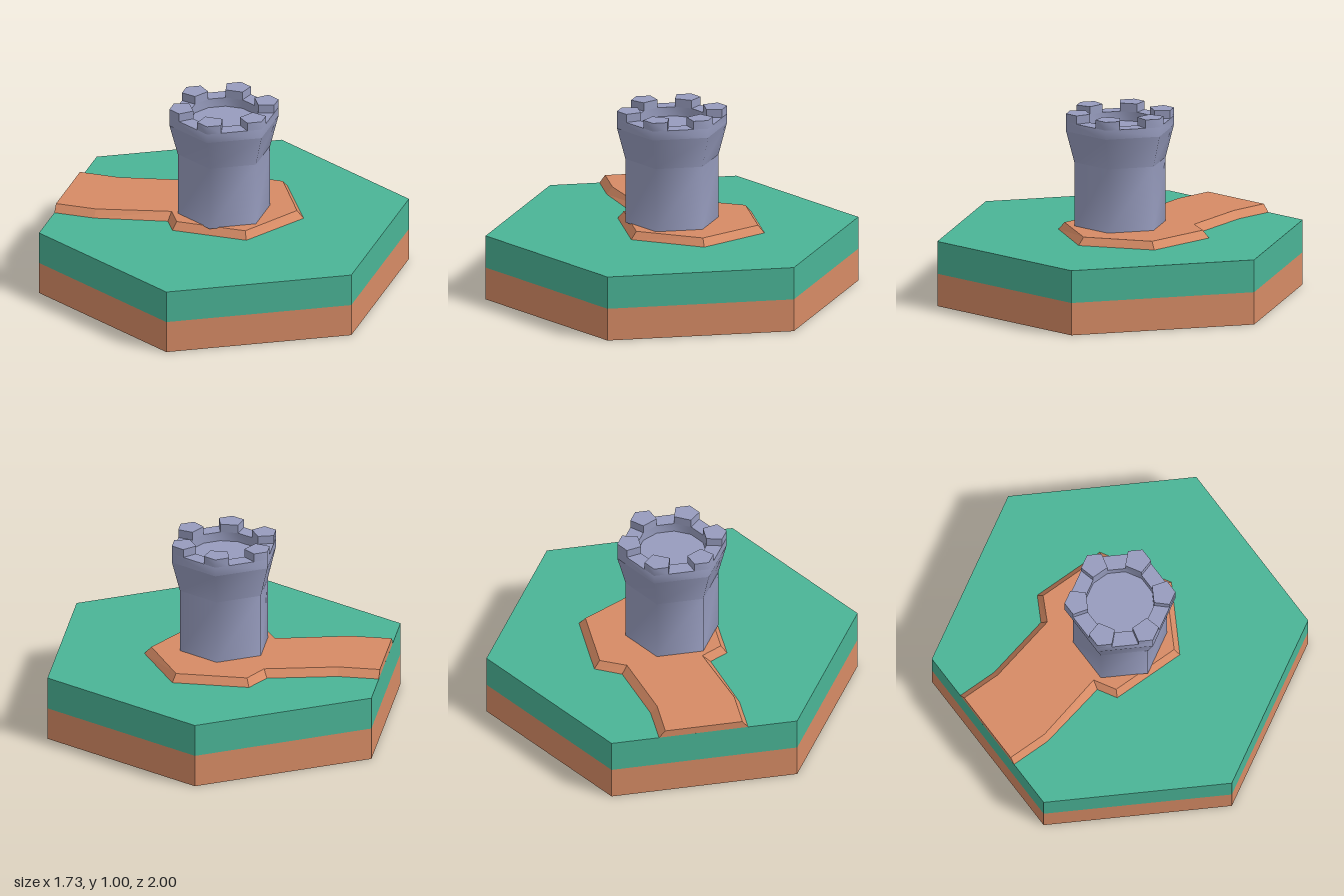
import * as THREE from 'three';
import { toCreasedNormals } from 'three/addons/utils/BufferGeometryUtils.js';

const HEX = Math.PI / 3;
const CREASE = 1.1; // softens the hexagonal tower corners, keeps rims sharp

export function createModel() {
  const model = new THREE.Group();
  const grass = new THREE.MeshStandardMaterial({ color: 0x4ab496 });
  grass.name = 'grass';
  const dirt = new THREE.MeshStandardMaterial({ color: 0xd68b65 });
  dirt.name = 'dirt';
  const stone = new THREE.MeshStandardMaterial({ color: 0x979cbe });
  stone.name = 'stone';

  const add = (parent, name, geometry, material) => {
    const mesh = new THREE.Mesh(geometry, material);
    mesh.name = name;
    parent.add(mesh);
    return mesh;
  };

  // Hexagonal prism from y0 to y1, corners on the z axis
  const prism = (rTop, rBottom, y0, y1) =>
    new THREE.CylinderGeometry(rTop, rBottom, y1 - y0, 6).translate(0, (y0 + y1) / 2, 0);
  const flat = (g) => toCreasedNormals(g, 0.3);
  const soft = (g) => toCreasedNormals(g, CREASE);

  // Ground tile
  add(model, 'dirtLayer', flat(prism(1, 1, 0, 0.175)), dirt);
  add(model, 'grassLayer', flat(prism(1, 1, 0.175, 0.35)), grass);

  // Raised path and yard: outer foot and inner top outline as [x, z]
  const foot = [
    [-0.866, 0.235], [-0.645, 0.235], [-0.262, 0.155], [-0.205, 0.255], [0.205, 0.255], [0.41, -0.1],
    [0.205, -0.46], [-0.205, -0.46], [-0.28, -0.325], [-0.645, -0.245], [-0.866, -0.245],
  ];
  const top = [
    [-0.866, 0.205], [-0.645, 0.205], [-0.255, 0.112], [-0.19, 0.225], [0.19, 0.225], [0.373, -0.1],
    [0.19, -0.428], [-0.19, -0.428], [-0.26, -0.295], [-0.645, -0.21], [-0.866, -0.21],
  ];
  add(model, 'path', bevelledSlab(foot, top, 0.35, 0.39), dirt);

  // Tower body
  const tower = new THREE.Group();
  tower.name = 'tower';
  model.add(tower);
  add(tower, 'shaft', soft(prism(0.25, 0.25, 0.385, 0.735)), stone);
  add(tower, 'flare', soft(prism(0.295, 0.25, 0.735, 0.905)), stone);

  // Parapet ring: hexagon outside, twelve sides inside
  const R = 0.295, r = 0.182;
  const ring = (radius, sides, offset) => Array.from({ length: sides }, (_, i) => {
    const a = offset + (i * 2 * Math.PI) / sides;
    return new THREE.Vector2(radius * Math.sin(a), -radius * Math.cos(a));
  });
  const raise = (shape, y0, y1) =>
    soft(new THREE.ExtrudeGeometry(shape, { depth: y1 - y0, bevelEnabled: false })
      .rotateX(-Math.PI / 2).translate(0, y0, 0));
  const parapet = new THREE.Shape(ring(R, 6, 0));
  parapet.holes.push(new THREE.Path(ring(r, 12, Math.PI / 12)));
  add(tower, 'parapet', raise(parapet, 0.905, 0.955), stone);

  // One battlement on every corner
  const cut = 0.077;
  const cx = cut * Math.cos(Math.PI / 6), cz = R - cut / 2;
  const ix = r * Math.sin(Math.PI / 12), iz = r * Math.cos(Math.PI / 12);
  const outline = [[0, R], [cx, cz], [ix, iz], [-ix, iz], [-cx, cz]];
  const merlon = raise(
    new THREE.Shape(outline.map(([x, z]) => new THREE.Vector2(x, -z))), 0.955, 1);
  for (let i = 0; i < 6; i++) {
    add(tower, 'battlement', merlon, stone).rotation.y = i * HEX;
  }
  return model;
}

// Slab whose sides slope from the foot outline up to the top outline
function bevelledSlab(foot, top, y0, y1) {
  const pos = [];
  const lo = (i) => [foot[i][0], y0, foot[i][1]];
  const hi = (i) => [top[i][0], y1, top[i][1]];
  for (let i = 0; i < foot.length; i++) {
    const j = (i + 1) % foot.length;
    pos.push(...lo(i), ...lo(j), ...hi(j), ...lo(i), ...hi(j), ...hi(i));
  }
  const plan = top.map(([x, z]) => new THREE.Vector2(x, -z));
  for (const face of THREE.ShapeUtils.triangulateShape(plan, [])) {
    for (const i of face) pos.push(...hi(i));
  }
  const g = new THREE.BufferGeometry();
  g.setAttribute('position', new THREE.Float32BufferAttribute(pos, 3));
  g.computeVertexNormals();
  return g;
}
